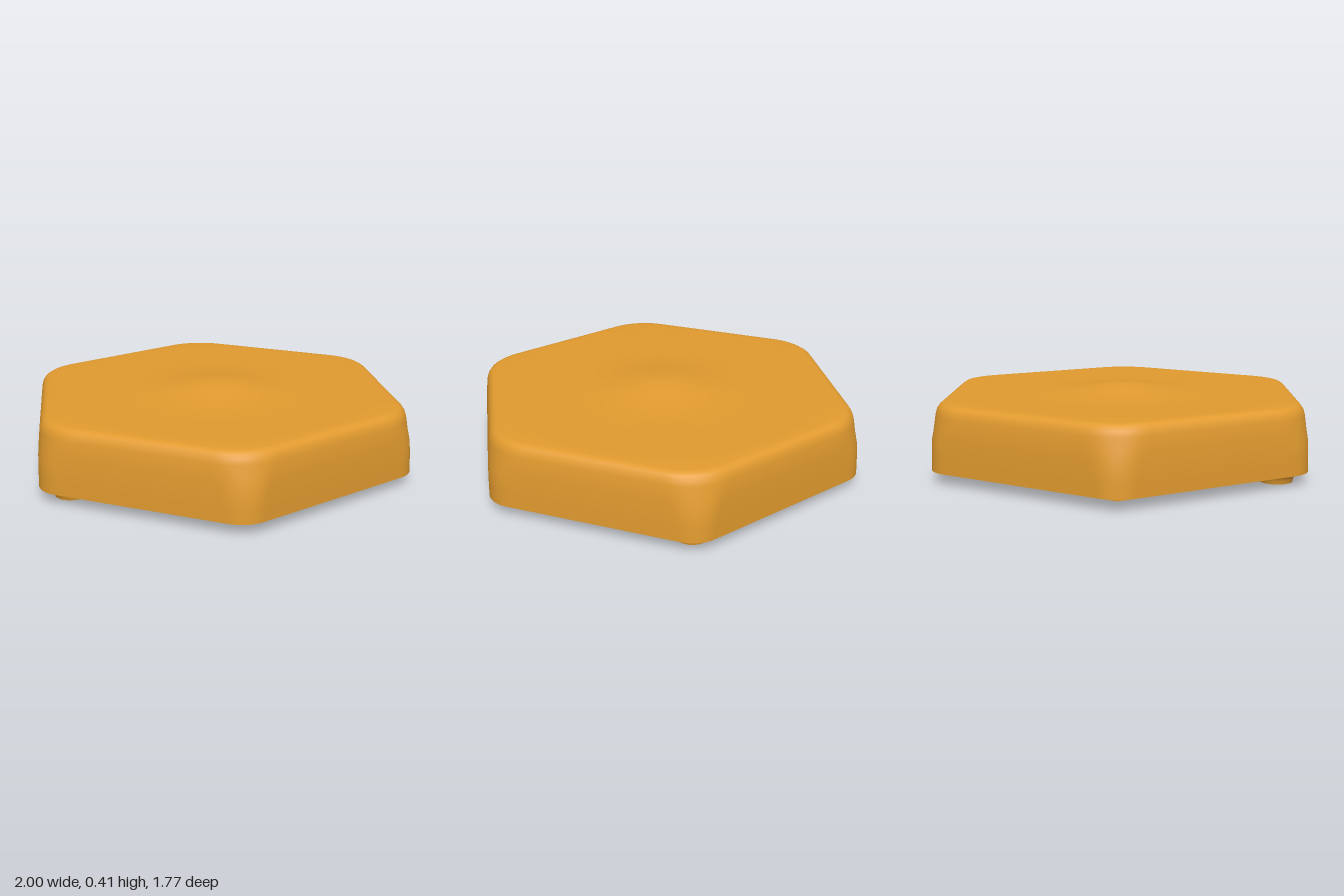
import * as THREE from 'three';
import { toCreasedNormals } from 'three/addons/utils/BufferGeometryUtils.js';

const STEPS = 360;
const DEG30 = Math.PI / 6;

// Angle measured from the nearest hexagon corner (corners lie on the x axis), 0 to 30 degrees
function cornerAngle(t) {
  const k = Math.round(t / (2 * DEG30));
  return Math.abs(t - k * 2 * DEG30);
}

// Radius of a hexagon with rounded corners; a = distance to the flats, r = corner radius
const hex = (a, r) => (t) => {
  const p = cornerAngle(t);
  const c = (a - r) / Math.cos(DEG30);
  const tangent = Math.atan2(r * 0.5, c + r * Math.cos(DEG30));
  if (p >= tangent) return a / Math.cos(DEG30 - p);
  return c * Math.cos(p) + Math.sqrt(r * r - (c * Math.sin(p)) ** 2);
};

// Hexagon whose two corners on the x axis are replaced by arcs
const plate = (a) => (t) => {
  const nearX = Math.abs(Math.cos(t)) > Math.cos(DEG30);
  return nearX ? a : a / Math.cos(DEG30 - cornerAngle(t));
};

const circle = (r) => () => r;

// Skin a list of [outline, height] rings; height may depend on the radius
function loft(rings, crease = 0.6) {
  const pos = [], index = [];
  rings.forEach(([outline, height]) => {
    for (let j = 0; j < STEPS; j++) {
      const t = (j / STEPS) * Math.PI * 2;
      const r = outline(t);
      const y = typeof height === 'function' ? height(r) : height;
      pos.push(r * Math.cos(t), y, r * Math.sin(t));
    }
  });
  for (let i = 0; i < rings.length - 1; i++) {
    for (let j = 0; j < STEPS; j++) {
      const n = (j + 1) % STEPS;
      const a = i * STEPS + j, b = a + STEPS, c = i * STEPS + n, d = c + STEPS;
      index.push(a, b, c, b, d, c);
    }
  }
  const g = new THREE.BufferGeometry();
  g.setAttribute('position', new THREE.Float32BufferAttribute(pos, 3));
  g.setIndex(index);
  return toCreasedNormals(g, crease);
}

export function createModel() {
  const group = new THREE.Group();
  const amber = new THREE.MeshStandardMaterial({ color: 0xe29b2f });
  amber.name = 'amber';
  const add = (name, geometry, parent = group) => {
    const mesh = new THREE.Mesh(geometry, amber);
    mesh.name = name;
    parent.add(mesh);
    return mesh;
  };

  // Hexagonal body: underside, drafted walls, soft rim and a bell-shaped rise on top
  const topHeight = (r) => 0.365 + 0.041 * Math.exp(-((r / 0.24) ** 2));
  const body = [
    [circle(0.7), 0.052], [hex(0.886, 0.15), 0.052], [hex(0.885, 0.16), 0.12],
    [hex(0.883, 0.18), 0.2], [hex(0.879, 0.24), 0.25], [hex(0.873, 0.27), 0.31],
    [hex(0.866, 0.27), 0.335], [hex(0.855, 0.27), 0.352], [hex(0.84, 0.26), 0.362],
    [hex(0.82, 0.25), 0.365],
  ];
  for (let i = 0; i <= 20; i++) body.push([circle(0.78 * (1 - i / 20)), topHeight]);
  add('body', loft(body));

  // Raised plate underneath, with a small fillet where it meets the body
  add('basePlate', loft([
    [circle(0.675), 0], [plate(0.715), 0], [plate(0.715), 0.03],
    [plate(0.72), 0.042], [plate(0.728), 0.049], [plate(0.745), 0.053],
  ]));

  // Round recess in the plate with a bead and a conical hollow in the middle
  const recess = [
    [0, 0.335], [0.02, 0.332], [0.045, 0.318], [0.25, 0.09], [0.27, 0.074], [0.285, 0.07],
    [0.295, 0.063], [0.31, 0.057], [0.325, 0.059], [0.34, 0.067], [0.35, 0.072],
    [0.66, 0.072], [0.675, 0.06], [0.675, 0],
  ];
  add('recess', loft(recess.map(([r, y]) => [circle(r), y])));

  // Flared feet and small nubs on either side
  const footProfile = [
    [0, 0], [0.078, 0], [0.082, 0.018], [0.09, 0.034], [0.102, 0.046], [0.122, 0.054],
  ].map(([r, y]) => new THREE.Vector2(r, y));
  const footGeometry = toCreasedNormals(new THREE.LatheGeometry(footProfile, 40), 0.6);
  const nubGeometry = new THREE.CapsuleGeometry(0.018, 0.07, 6, 16).rotateZ(Math.PI / 2);
  for (const [side, s] of [['left', 1], ['right', -1]]) {
    add(side + 'Foot', footGeometry).position.set(s * 0.85, 0, 0);
    add(side + 'Nub', nubGeometry).position.set(s * 0.585, 0.07, 0);
  }
  return group;
}
